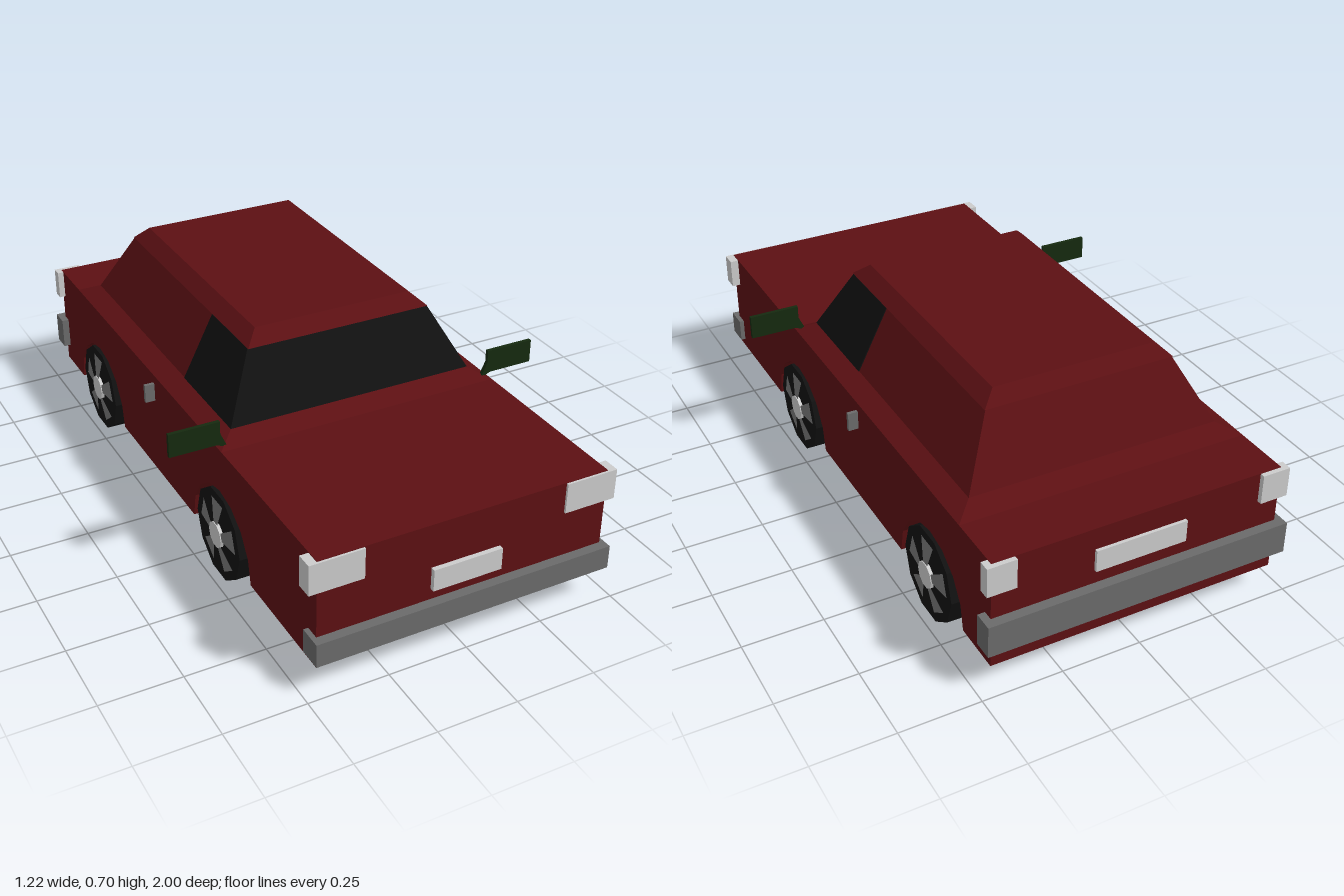
import * as THREE from 'three';

const mat = (color, side = THREE.FrontSide) =>
  new THREE.MeshStandardMaterial({ color, side, flatShading: true });
const red = mat(0x5c1013), black = mat(0x111111), green = mat(0x15290f);
const bumperGrey = mat(0x6a6a6a), lightGrey = mat(0xcccccc);
const spokeGrey = mat(0x777777, THREE.DoubleSide);

function add(parent, name, geometry, material) {
  const mesh = new THREE.Mesh(geometry, material);
  mesh.name = name;
  parent.add(mesh);
  return mesh;
}

// Box given by its limits on each axis
function block(parent, name, [x0, x1], [y0, y1], [z0, z1], material) {
  const g = new THREE.BoxGeometry(x1 - x0, y1 - y0, z1 - z0);
  g.translate((x0 + x1) / 2, (y0 + y1) / 2, (z0 + z1) / 2);
  return add(parent, name, g, material);
}

// Stack of rectangles [y, half width, front z, back z], closed on top and bottom
function loft(rings) {
  const pos = [], index = [];
  for (const [y, w, zf, zb] of rings) pos.push(-w, y, zf, w, y, zf, w, y, zb, -w, y, zb);
  for (let r = 0; r < rings.length - 1; r++) {
    for (let i = 0; i < 4; i++) {
      const a = r * 4 + i, b = r * 4 + (i + 1) % 4;
      index.push(a, b, b + 4, a, b + 4, a + 4);
    }
  }
  const t = (rings.length - 1) * 4;
  index.push(t, t + 1, t + 2, t, t + 2, t + 3, 0, 2, 1, 0, 3, 2);
  const g = new THREE.BufferGeometry();
  g.setAttribute('position', new THREE.Float32BufferAttribute(pos, 3));
  g.setIndex(index);
  const flat = g.toNonIndexed();
  flat.computeVertexNormals();
  return flat;
}

const AXLES = [0.37, -0.61];
const FLOOR = 0.085, DECK = 0.435, HALF = 0.46, CORE = 0.31, END = 0.97;

// Side of the body with faceted wheel arches cut from its lower edge
function sideGeometry() {
  const s = new THREE.Shape();
  s.moveTo(END, DECK);
  s.lineTo(-END, DECK);
  s.lineTo(-END, FLOOR);
  for (const z of [...AXLES].reverse()) {
    for (let i = 0; i <= 8; i++) {
      const a = Math.PI * (1 - i / 8);
      s.lineTo(z + 0.2 * Math.cos(a), FLOOR + 0.207 * Math.sin(a));
    }
  }
  s.lineTo(END, FLOOR);
  const g = new THREE.ExtrudeGeometry(s, { depth: HALF - CORE, bevelEnabled: false });
  return g.rotateY(-Math.PI / 2);
}

// Ten-sided wheel whose outer face looks along +x
function makeWheel() {
  const wheel = new THREE.Group();
  const tyre = new THREE.CylinderGeometry(0.149, 0.149, 0.155, 10).rotateZ(-Math.PI / 2);
  add(wheel, 'tyre', tyre, black);
  for (let i = 0; i < 5; i++) {
    const start = (i * 2 - 1) * Math.PI / 5;
    const spoke = new THREE.CylinderGeometry(0.035, 0.12, 0.008, 1, 1, true, start, Math.PI / 5);
    spoke.rotateZ(-Math.PI / 2).translate(0.082, 0, 0);
    add(wheel, 'spoke', spoke, spokeGrey);
  }
  const hub = new THREE.CylinderGeometry(0.042, 0.042, 0.012, 10).rotateZ(-Math.PI / 2);
  add(wheel, 'hubCap', hub.translate(0.082, 0, 0), lightGrey);
  return wheel;
}

// Plate and stem of a door mirror, s = side sign
function mirrorGeometry(s) {
  const pts = [[0.43, 0.435], [0.465, 0.45], [0.612, 0.45], [0.612, 0.525], [0.453, 0.525], [0.453, 0.485]];
  const shape = new THREE.Shape(pts.map(([x, y]) => new THREE.Vector2(s * x, y)));
  return new THREE.ExtrudeGeometry(shape, { depth: 0.012, bevelEnabled: false }).translate(0, 0, 0.36);
}

export function createModel() {
  const car = new THREE.Group();
  car.name = 'car';

  // Lower body
  block(car, 'bodyCore', [-CORE, CORE], [FLOOR, DECK], [-END, END], red);
  add(car, 'bodySideLeft', sideGeometry(), red).position.x = HALF;
  add(car, 'bodySideRight', sideGeometry(), red).position.x = -CORE;

  // Cabin with a small lip above the windscreen
  add(car, 'cabin', loft([
    [DECK, 0.46, 0.39, -0.79],
    [0.465, 0.40, 0.33, -0.73],
    [0.662, 0.30, 0.24, -0.635],
    [0.662, 0.303, 0.25, -0.637],
    [0.702, 0.26, 0.205, -0.6],
  ]), red);

  // Windscreen wrapping into the front side windows
  add(car, 'frontGlass', loft([
    [0.466, 0.403, 0.334, -0.003],
    [0.661, 0.303, 0.244, -0.003],
  ]), black);

  // Bumpers and number plates
  block(car, 'frontBumper', [-0.475, 0.475], [0.113, 0.188], [0.925, 1], bumperGrey);
  block(car, 'rearBumper', [-0.483, 0.483], [0.148, 0.25], [-1, -0.938], bumperGrey);
  block(car, 'frontPlate', [-0.11, 0.11], [0.224, 0.294], [0.96, 0.985], lightGrey);
  block(car, 'rearPlate', [-0.145, 0.145], [0.295, 0.365], [-0.98, -0.96], lightGrey);

  for (const s of [1, -1]) {
    const span = (a, b) => (s > 0 ? [a, b] : [-b, -a]);
    const side = s > 0 ? 'Left' : 'Right';
    block(car, 'headlight' + side, span(0.32, 0.487), [0.337, 0.433], [0.925, 0.977], lightGrey);
    block(car, 'tailLight' + side, span(0.39, 0.48), [0.34, 0.434], [-0.985, -0.95], lightGrey);
    block(car, 'doorHandle' + side, span(0.45, 0.492), [0.345, 0.405], [-0.122, -0.11], bumperGrey);
    add(car, 'doorMirror' + side, mirrorGeometry(s), green);
    AXLES.forEach((z, i) => {
      const wheel = makeWheel();
      wheel.name = (i ? 'rear' : 'front') + 'Wheel' + side;
      wheel.position.set(s * 0.392, 0.142, z);
      if (s < 0) wheel.rotation.y = Math.PI;
      car.add(wheel);
    });
  }
  return car;
}
